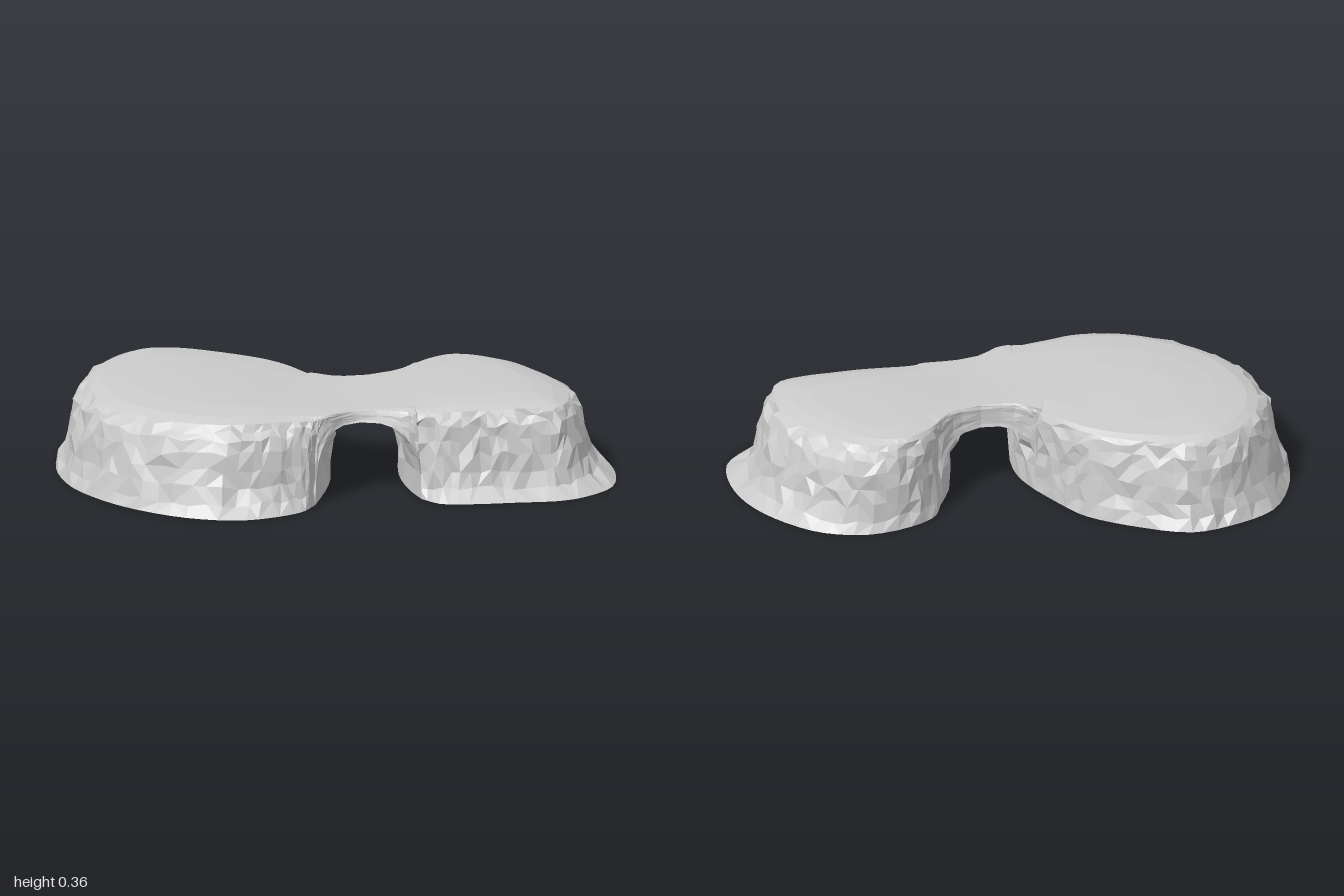
import * as THREE from 'three';

// Seeded noise so the rock facets are repeatable
let seed = 7;
const rnd = () => {
  seed = (seed * 16807) % 2147483647;
  return seed / 2147483647 - 0.5;
};

const { smoothstep } = THREE.MathUtils;
const curve = (pts) => new THREE.CatmullRomCurve3(pts.map(([x, z]) => new THREE.Vector3(x, 0, z)));
const topY = (x, z) => 0.351 - 0.007 * Math.cos(6.5 * x) + 0.003 * Math.cos(4 * z);

// Ground and rim outlines, paired point by point: [x, z]
const bigBase = curve([[-0.26, 0.44], [-0.34, 0.5], [-0.45, 0.52], [-0.61, 0.5], [-0.78, 0.38], [-0.92, 0.17],
  [-0.985, -0.03], [-1, -0.2], [-0.95, -0.42], [-0.83, -0.62], [-0.65, -0.78], [-0.45, -0.81], [-0.28, -0.78],
  [-0.13, -0.62], [-0.02, -0.43], [0, -0.3], [0.01, -0.12]]);
const bigRim = curve([[-0.24, 0.42], [-0.3, 0.41], [-0.39, 0.39], [-0.5, 0.37], [-0.66, 0.28], [-0.79, 0.11],
  [-0.85, -0.05], [-0.86, -0.18], [-0.82, -0.4], [-0.72, -0.56], [-0.58, -0.67], [-0.45, -0.71], [-0.31, -0.67],
  [-0.18, -0.55], [-0.07, -0.4], [-0.03, -0.28], [-0.01, -0.13]]);
const smallBase = curve([[0.39, -0.04], [0.46, -0.11], [0.57, -0.14], [0.76, -0.115], [0.905, 0], [0.98, 0.18],
  [1, 0.37], [0.96, 0.56], [0.86, 0.73], [0.7, 0.8], [0.6, 0.8], [0.45, 0.75], [0.3, 0.7], [0.18, 0.64], [0.14, 0.55]]);
const smallRim = curve([[0.4, -0.04], [0.47, -0.08], [0.57, -0.1], [0.68, -0.06], [0.76, 0.03], [0.8, 0.17],
  [0.82, 0.3], [0.81, 0.44], [0.76, 0.56], [0.68, 0.65], [0.58, 0.64], [0.46, 0.6], [0.36, 0.57], [0.25, 0.53], [0.15, 0.49]]);
const bridgeBackRim = curve([[-0.01, -0.13], [0.06, -0.04], [0.17, 0.01], [0.3, 0.01], [0.4, -0.04]]);
const bridgeFrontRim = curve([[-0.24, 0.42], [-0.16, 0.42], [-0.08, 0.4], [0.04, 0.43], [0.15, 0.49]]);

// Feet of the two tunnel walls, from back to front
const bigFoot = curve([[0.01, -0.12], [0, 0], [-0.04, 0.12], [-0.13, 0.27], [-0.26, 0.44]]);
const smallFoot = curve([[0.39, -0.04], [0.27, 0.08], [0.19, 0.25], [0.15, 0.42], [0.14, 0.55]]);

// Middle line of the flat top, running through both rocks
const spine = curve([[-0.45, -0.2], [-0.2, 0.08], [0.1, 0.23], [0.55, 0.28]]).getPoints(60);

// Arch section: s runs across from the big rock to the small one, the bridge waist is narrower
const ARCH = 14;
const across = (v) => {
  const c = Math.cos(Math.PI * v);
  return 0.5 - 0.5 * Math.sign(c) * Math.abs(c) ** 0.7;
};
function archPoint(u, v) {
  const s = across(v);
  const p = bigFoot.getPoint(u).lerp(smallFoot.getPoint(u), s);
  p.z += (0.08 - 0.15 * u) * Math.sin(Math.PI * s);
  const rise = v === 0 || v === 1 ? 0 : Math.sin(Math.PI * v) ** 0.7;
  p.x -= 0.04 * (1 - u) * rise * (1 - s);
  p.y = (0.26 + 0.04 * u) * rise;
  return p;
}

// Quad surface from rows of points, with randomly turned diagonals
function surface(rows, closed) {
  const n = rows[0].length;
  const index = [];
  for (let r = 0; r < rows.length - 1; r++) {
    for (let c = 0; c < (closed ? n : n - 1); c++) {
      const d = (c + 1) % n;
      const a = r * n + c, b = r * n + d, e = a + n, f = b + n;
      if (rnd() > 0) index.push(a, e, b, b, e, f);
      else index.push(a, e, f, a, f, b);
    }
  }
  const geo = new THREE.BufferGeometry().setFromPoints(rows.flat());
  geo.setIndex(index);
  geo.computeVertexNormals();
  return geo;
}

const jitter = (p, h, y) => p.set(p.x + rnd() * h, p.y + rnd() * y, p.z + rnd() * h);

export function createModel() {
  seed = 7;
  const group = new THREE.Group();
  group.name = 'rockArch';
  const rock = new THREE.MeshStandardMaterial({ color: 0xcccccc, flatShading: true, side: THREE.DoubleSide });
  const add = (name, geo) => {
    const mesh = new THREE.Mesh(geo, rock);
    mesh.name = name;
    group.add(mesh);
  };

  // One closed loop of columns: big rock, back of bridge, small rock, front of bridge
  const columns = [];
  const cliff = (base, rim, n) => {
    for (let i = 0; i < n; i++) columns.push([base.getPoint(i / n), rim.getPoint(i / n)]);
  };
  cliff(bigBase, bigRim, 56);
  for (let i = 0; i < ARCH; i++) {
    columns.push([archPoint(0, i / ARCH), bridgeBackRim.getPoint(across(i / ARCH))]);
  }
  cliff(smallBase, smallRim, 46);
  for (let i = ARCH; i > 0; i--) {
    columns.push([archPoint(1, i / ARCH), bridgeFrontRim.getPoint(across(i / ARCH))]);
  }

  // Wall profile: [height share, inward share], flared foot and rounded shoulder
  const profile = [[0, 0], [0.13, 0.25], [0.3, 0.4], [0.48, 0.48], [0.65, 0.56], [0.79, 0.68], [0.88, 0.83], [0.935, 1], [0.975, 1.35]];
  const last = profile.length - 1;
  const rows = profile.map(([h, inward], r) => columns.map(([foot, rim]) => {
    // Front walls step in faster above the foot, the right-hand wall stays steeper
    const sharp = 1 - 0.4 * smoothstep(foot.z, 0.3, 0.7) + 0.4 * smoothstep(-foot.x, 0.6, 1);
    const p = foot.clone().lerp(rim, inward < 1 ? inward ** sharp : inward);
    const top = topY(p.x, p.z);
    p.y = foot.y + (top - foot.y) * h;
    const size = (top - foot.y) / top;
    if (r > 0 && r < last - 1) jitter(p, 0.02 * size, 0.025 * size);
    return p;
  }));
  add('cliffWalls', surface(rows, true));

  // Gently domed top, drawn in from the last ring to just past the middle line
  const plateau = [0, 0.3, 0.7, 1.04].map((t) => rows[last].map((p) => {
    const near = spine.reduce((a, b) => (Math.hypot(b.x - p.x, b.z - p.z) < Math.hypot(a.x - p.x, a.z - p.z) ? b : a));
    const q = p.clone().lerp(near, t);
    q.y = THREE.MathUtils.lerp(p.y, topY(q.x, q.z), Math.min(1, t * 3));
    return q;
  }));
  add('plateau', surface(plateau, true));

  // Tunnel under the bridge
  const DEPTH = 9;
  const tunnel = [];
  for (let j = 0; j <= ARCH; j++) {
    const row = [];
    for (let i = 0; i <= DEPTH; i++) {
      const p = archPoint(i / DEPTH, j / ARCH);
      if (i > 0 && i < DEPTH && j > 0 && j < ARCH) jitter(p, 0.025, 0.015);
      row.push(p);
    }
    tunnel.push(row);
  }
  add('archUnderside', surface(tunnel, false));

  return group;
}
